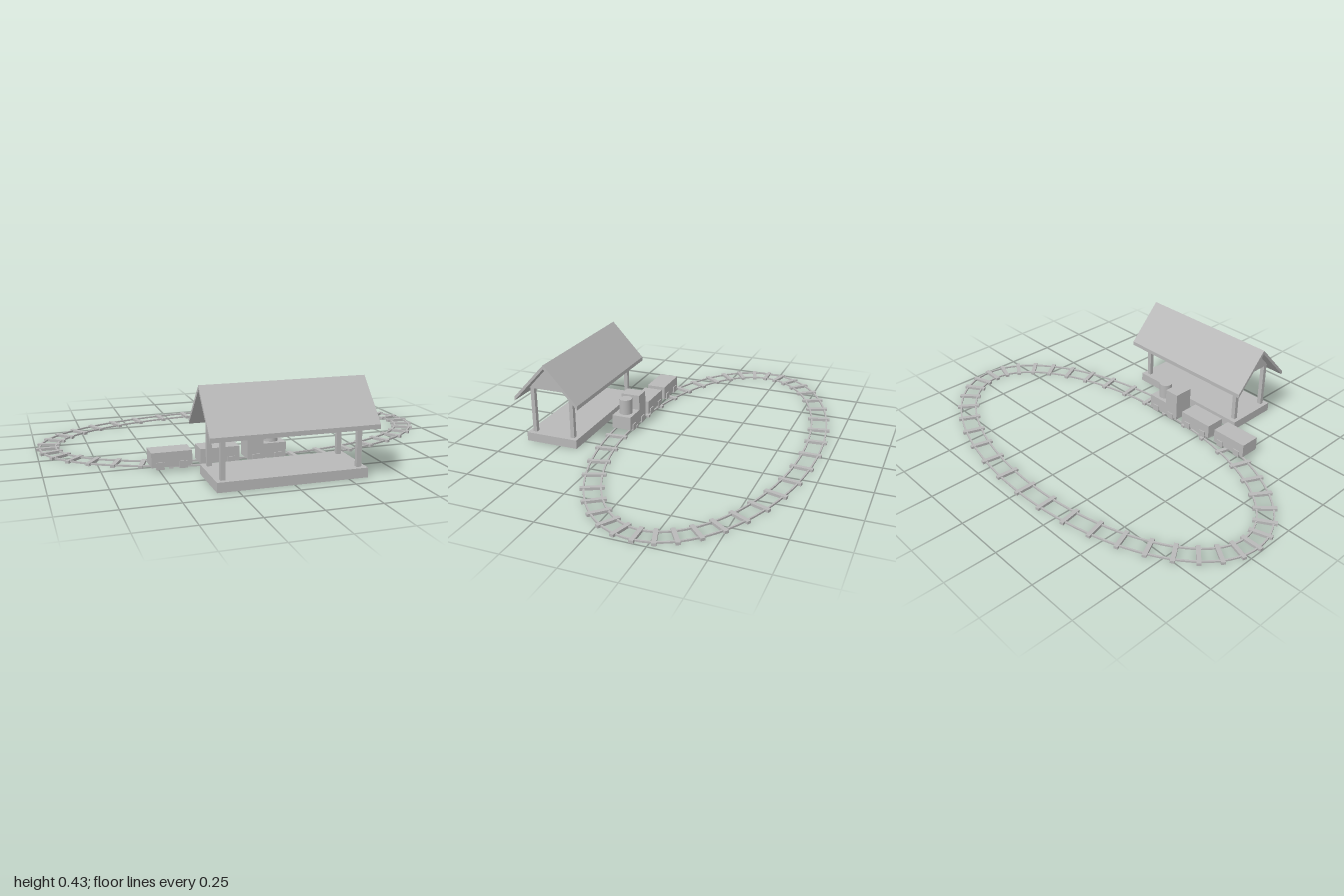
import * as THREE from 'three';

export function createModel() {
  const model = new THREE.Group();
  const grey = new THREE.MeshStandardMaterial({ color: 0xb8b8b8 });
  grey.name = 'plain grey';

  function add(parent, name, geometry, x = 0, y = 0, z = 0) {
    const mesh = new THREE.Mesh(geometry, grey);
    mesh.name = name;
    mesh.position.set(x, y, z);
    parent.add(mesh);
    return mesh;
  }
  // Box given by its extents on each axis
  function block(parent, name, x0, x1, y0, y1, z0, z1) {
    return add(parent, name, new THREE.BoxGeometry(x1 - x0, y1 - y0, z1 - z0),
      (x0 + x1) / 2, (y0 + y1) / 2, (z0 + z1) / 2);
  }
  function group(name) {
    const g = new THREE.Group();
    g.name = name;
    model.add(g);
    return g;
  }

  // Oval track
  const track = group('track');
  const A = 0.945, B = 0.477, CZ = -0.183;
  const ovalPoint = (t, offset) => {
    const n = new THREE.Vector2(Math.sin(t) / A, -Math.cos(t) / B).normalize();
    return new THREE.Vector2(A * Math.sin(t) + n.x * offset, -B * Math.cos(t) + n.y * offset);
  };
  function rail(offset) {
    const ring = (o) => Array.from({ length: 96 }, (_, i) => ovalPoint(i / 96 * Math.PI * 2, o));
    const shape = new THREE.Shape(ring(offset + 0.004));
    shape.holes.push(new THREE.Path(ring(offset - 0.004)));
    const g = new THREE.ExtrudeGeometry(shape, { depth: 0.008, bevelEnabled: false });
    g.rotateX(Math.PI / 2);
    return g;
  }
  add(track, 'outerRail', rail(0.038), 0, 0.011, CZ);
  add(track, 'innerRail', rail(-0.038), 0, 0.011, CZ);
  const tieGeometry = new THREE.BoxGeometry(0.11, 0.013, 0.02);
  for (let i = 0; i < 40; i++) {
    const t = i / 40 * Math.PI * 2;
    const p = ovalPoint(t, 0), q = ovalPoint(t, 1).sub(p);
    const tie = add(track, 'tie', tieGeometry, p.x, 0.0065, p.y + CZ);
    tie.rotation.y = -Math.atan2(q.y, q.x);
  }

  // Station shelter: platform, posts, gables and pitched roof
  const station = group('station');
  const SZ = 0.546;
  block(station, 'platform', -0.34, 0.338, 0, 0.044, SZ - 0.136, SZ + 0.136);
  const prism = (points, length) => {
    const shape = new THREE.Shape(points.map(([z, y]) => new THREE.Vector2(z, y)));
    const g = new THREE.ExtrudeGeometry(shape, { depth: length, bevelEnabled: false });
    g.translate(0, 0, -length / 2);
    g.rotateY(Math.PI / 2);
    return g;
  };
  for (const x of [-0.308, 0.305]) {
    for (const z of [SZ - 0.104, SZ + 0.104])
      block(station, 'post', x - 0.011, x + 0.011, 0.044, 0.28, z - 0.01, z + 0.01);
    add(station, 'gable', prism([[-0.12, 0.275], [0.12, 0.275], [0, 0.406]], 0.022), x, 0, SZ);
  }
  add(station, 'roof', prism([
    [-0.17, 0.222], [0, 0.405], [0.17, 0.222],
    [0.17, 0.242], [0, 0.425], [-0.17, 0.242],
  ], 0.753), -0.002, 0, SZ);

  // Train on the front straight
  const TZ = 0.286, HALF = 0.05;
  function car(name, x0, x1) {
    const g = group(name);
    block(g, 'body', x0, x1, 0.022, 0.09, TZ - HALF, TZ + HALF);
    for (const x of [x0 + 0.04, x1 - 0.04])
      for (const side of [-1, 1]) {
        const z = TZ + side * (HALF - 0.004);
        block(g, 'wheel', x - 0.018, x + 0.018, 0.012, 0.045, z - 0.009, z + 0.009);
      }
    return g;
  }
  car('rearWagon', -0.54, -0.355);
  car('frontWagon', -0.317, -0.135);
  const engine = car('engine', -0.096, 0.09);
  block(engine, 'cab', -0.096, -0.02, 0.09, 0.167, TZ - HALF, TZ + HALF);
  add(engine, 'chimney', new THREE.CylinderGeometry(0.033, 0.033, 0.077, 24), 0.033, 0.1285, TZ);

  return model;
}
